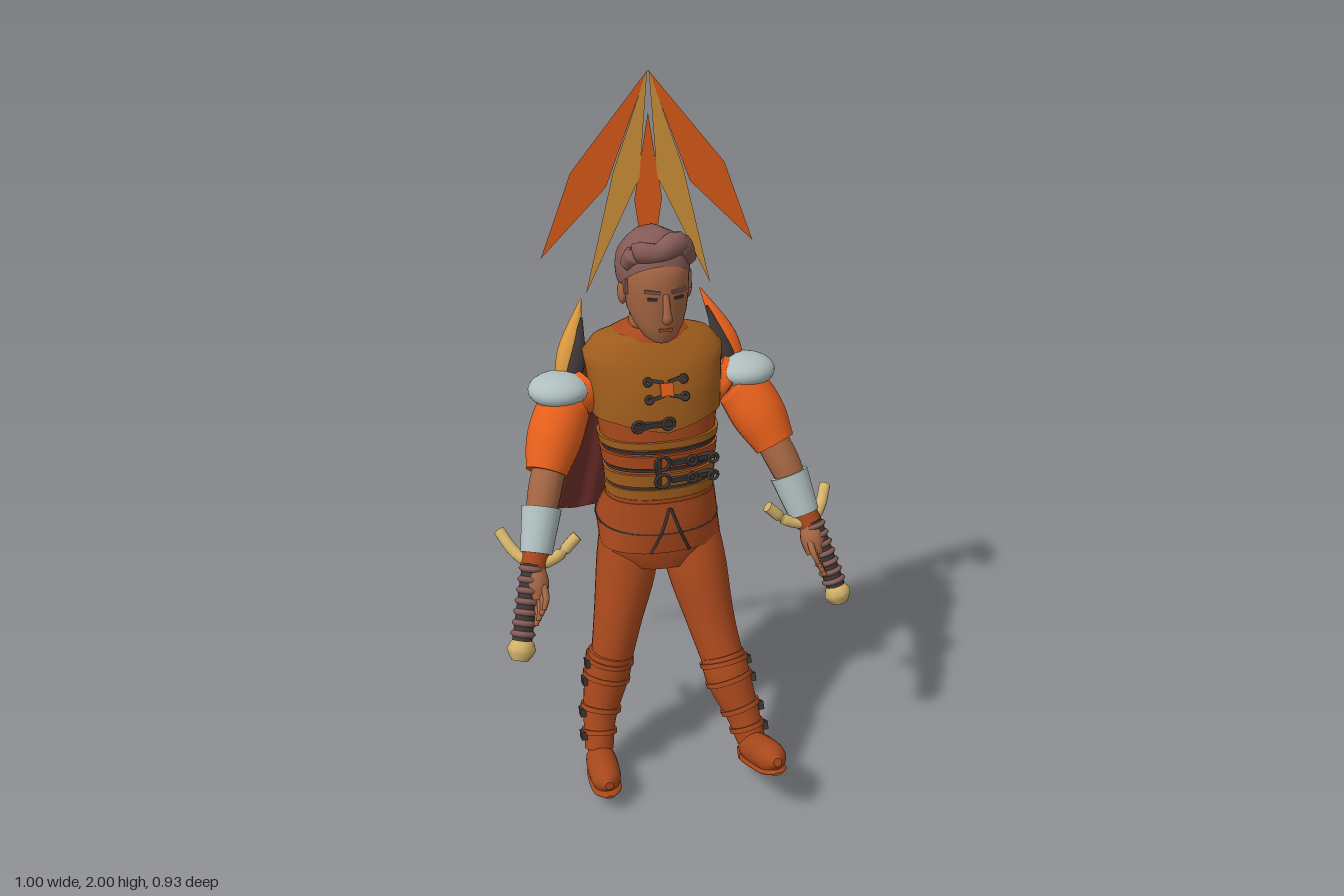
import * as THREE from 'three';

const V = (x, y, z) => new THREE.Vector3(x, y, z);
const mats = {};
for (const [name, color] of Object.entries({
  skin: 0xa26442, hair: 0x845a55, vestBrown: 0x9e5c1c, leather: 0xa8481c, orange: 0xe8601c,
  paleGrey: 0xafbebe, capeRed: 0x74322d, gold: 0xdc9a3e, brass: 0xd2b26a, darkStrap: 0x3c3634,
})) mats[name] = new THREE.MeshStandardMaterial({ color, name });
mats.capeRed.side = mats.gold.side = mats.orange.side = mats.hair.side = THREE.DoubleSide;

export function createModel() {
  const root = new THREE.Group();
  const add = (name, geo, mat, parent = root) => {
    const m = new THREE.Mesh(geo, mats[mat]);
    m.name = name;
    parent.add(m);
    return m;
  };

  // Skin a stack of rings, with both ends capped
  const skinRings = (rings) => {
    const n = rings[0].length, pos = [], idx = [];
    rings.forEach((r) => r.forEach((p) => pos.push(p.x, p.y, p.z)));
    for (let i = 0; i < rings.length - 1; i++) for (let j = 0; j < n; j++) {
      const a = i * n + j, b = i * n + (j + 1) % n;
      idx.push(a, b, b + n, a, b + n, a + n);
    }
    [0, rings.length - 1].forEach((i) => {
      const base = pos.length / 3;
      const c = rings[i].reduce((s, p) => s.add(p), V(0, 0, 0)).divideScalar(n);
      rings[i].forEach((p) => pos.push(p.x, p.y, p.z));
      pos.push(c.x, c.y, c.z);
      for (let j = 0; j < n; j++) {
        const a = base + j, b = base + (j + 1) % n;
        if (i) idx.push(a, b, base + n); else idx.push(b, a, base + n);
      }
    });
    const g = new THREE.BufferGeometry();
    g.setAttribute('position', new THREE.Float32BufferAttribute(pos, 3));
    g.setIndex(idx);
    g.computeVertexNormals();
    return g;
  };

  // Horizontal sections, bottom to top: [y, front z, back z, half width]
  const loft = (secs, pow = 0.9, n = 32) => skinRings(secs.map(([y, zf, zb, rx]) =>
    Array.from({ length: n }, (_, j) => {
      const a = j / n * Math.PI * 2, c = Math.cos(a), s = Math.sin(a);
      const e = (v) => Math.sign(v) * Math.abs(v) ** pow;
      return V(rx * e(c), y, (zf + zb) / 2 - (zf - zb) / 2 * e(s));
    })));

  // Tapered limb through points [x, y, z, radius]; flat squashes one axis
  const limb = (pts, { steps = pts.length * 4, n = 16, flat = 1 } = {}) => {
    const path = new THREE.CatmullRomCurve3(pts.map((p) => V(p[0], p[1], p[2])));
    const rad = new THREE.CatmullRomCurve3(pts.map((p, i) => V(p[3], i * 0.05, 0)));
    return skinRings(Array.from({ length: steps + 1 }, (_, i) => {
      const t = i / steps, c = path.getPoint(t), T = path.getTangent(t), r = rad.getPoint(t).x;
      const U = Math.abs(T.x) < 0.8 ? V(1, 0, 0) : V(0, 0, 1);
      U.addScaledVector(T, -T.dot(U)).normalize();
      const W = T.clone().cross(U);
      return Array.from({ length: n }, (_, j) => {
        const a = j / n * Math.PI * 2;
        return c.clone().addScaledVector(U, r * Math.cos(a)).addScaledVector(W, r * flat * Math.sin(a));
      });
    }));
  };
  const ball = (name, mat, p, s) => {
    const m = add(name, new THREE.SphereGeometry(1, 24, 16), mat);
    m.position.set(...p); m.scale.set(...s);
  };
  const box = (name, mat, p, s, rot = [0, 0, 0]) => {
    const m = add(name, new THREE.BoxGeometry(...s), mat);
    m.position.set(...p); m.rotation.set(...rot);
  };

  // Torso, vest and waist bands
  const body = [[0.84, 0.085, -0.115, 0.147], [0.92, 0.08, -0.112, 0.15], [1.0, 0.077, -0.135, 0.16],
    [1.1, 0.066, -0.17, 0.173], [1.18, 0.048, -0.185, 0.178], [1.25, 0.01, -0.185, 0.187],
    [1.285, -0.02, -0.175, 0.155], [1.3, -0.035, -0.165, 0.09]];
  const at = (y) => {
    const i = Math.max(1, body.findIndex((b) => b[0] >= y)), a = body[i - 1], b = body[i];
    return a.map((v, k) => v + (b[k] - v) * (y - a[0]) / (b[0] - a[0]));
  };
  const grow = ([y, f, b, r], d) => [y, f + d, b - d, r + d];
  add('torso', loft(body), 'leather');
  const vest = loft([1.085, 1.11, 1.14, 1.18, 1.22, 1.25, 1.285, 1.299].map((y) => grow(at(y), 0.01)));
  const vp = vest.attributes.position;
  for (let i = 0; i < vp.count; i++) // hem dips at the middle
    if (vp.getY(i) < 1.09) vp.setY(i, 1.085 - 0.03 * Math.max(0, 1 - Math.abs(vp.getX(i)) / 0.14));
  add('vest', vest, 'vestBrown');
  [[0.862, 0.89, 'vestBrown'], [0.9, 0.935, 'vestBrown'], [0.955, 0.99, 'leather'], [1.01, 1.03, 'vestBrown']].forEach(([a, b, mat]) =>
    add('waistBand', loft([grow(at(a), 0.008), grow(at(b), 0.008)]), mat));
  [0.895, 0.947, 1.0].forEach((y) =>
    add('bandSeam', loft([grow(at(y - 0.004), 0.004), grow(at(y + 0.004), 0.004)]), 'darkStrap'));
  add('collar', loft([[1.255, 0.0, -0.207, 0.12], [1.29, -0.012, -0.2, 0.12], [1.3, -0.02, -0.19, 0.1], [1.318, -0.03, -0.165, 0.07]]), 'leather');

  // Front straps, buckles and chest clasp
  const buckle = (x, y, r) => {
    const m = add('buckle', new THREE.TorusGeometry(r, 0.005, 6, 12), 'darkStrap');
    m.position.set(x, y, at(y)[1] + 0.013);
    m.rotation.x = y > 1.1 ? -0.4 : 0;
  };
  [0.92, 0.972].forEach((y) => {
    box('frontStrap', 'darkStrap', [0.07, y, at(y)[1] + 0.002], [0.13, 0.014, 0.018], [0, 0.15, 0]);
    [-0.02, 0.065, 0.125].forEach((x) => buckle(x, y, x < 0 ? 0.02 : 0.013));
  });
  box('beltLink', 'darkStrap', [-0.03, 0.946, 0.087], [0.014, 0.075, 0.012]);
  box('chestStrap', 'darkStrap', [-0.045, 1.085, 0.077], [0.11, 0.015, 0.014]);
  [-0.085, 0.0].forEach((x) => buckle(x, 1.085, 0.016));
  [1.155, 1.2].forEach((y) => [-1, 1].forEach((s) => {
    box('claspBar', 'darkStrap', [s * 0.032, y, at(y)[1] + 0.01], [0.05, 0.01, 0.014], [-0.4, 0, s * (y > 1.18 ? 0.25 : -0.25)]);
    buckle(s * 0.05, y, 0.009);
  }));
  box('claspPlate', 'orange', [0, 1.178, 0.06], [0.035, 0.035, 0.012], [-0.3, 0, 0]);

  // Hips, flared tunic skirt and front opening seams
  add('hips', loft([[0.64, 0.09, -0.07, 0.11], [0.69, 0.1, -0.12, 0.165], [0.74, 0.1, -0.17, 0.165],
    [0.8, 0.095, -0.15, 0.16], [0.86, 0.09, -0.12, 0.154]]), 'leather');
  add('skirt', loft([[0.7, 0.105, -0.125, 0.175], [0.76, 0.107, -0.205, 0.174], [0.785, 0.105, -0.185, 0.17],
    [0.85, 0.094, -0.125, 0.157]]), 'leather');
  add('skirtSeam', loft([[0.757, 0.107, -0.208, 0.176], [0.762, 0.107, -0.208, 0.176]]), 'darkStrap');
  [-1, 1].forEach((s) => add('openingSeam',
    limb([[s * 0.002, 0.835, 0.096, 0.004], [s * 0.025, 0.77, 0.106, 0.004], [s * 0.055, 0.7, 0.1, 0.004]], { n: 6 }), 'darkStrap'));

  // Legs, boots and boot straps, the left leg stepping forward
  const legs = [
    { s: -1, thigh: [[-0.085, 0.76, -0.04, 0.08], [-0.1, 0.62, -0.01, 0.088], [-0.14, 0.46, 0.035, 0.07], [-0.17, 0.32, 0.06, 0.058]],
      boot: [[-0.165, 0.37, 0.055, 0.066], [-0.18, 0.3, 0.06, 0.066], [-0.21, 0.18, 0.09, 0.049], [-0.222, 0.09, 0.125, 0.042]],
      foot: [[-0.222, 0.058, 0.105, 0.026], [-0.223, 0.066, 0.14, 0.042], [-0.23, 0.075, 0.22, 0.045], [-0.235, 0.085, 0.275, 0.038], [-0.236, 0.088, 0.305, 0.012]],
      heel: [-0.222, 0.022, 0.125], tilt: -0.2 },
    { s: 1, thigh: [[0.085, 0.76, -0.04, 0.08], [0.095, 0.62, 0.03, 0.088], [0.12, 0.46, 0.105, 0.07], [0.145, 0.34, 0.165, 0.06]],
      boot: [[0.14, 0.37, 0.155, 0.064], [0.15, 0.31, 0.185, 0.065], [0.18, 0.21, 0.235, 0.049], [0.196, 0.14, 0.27, 0.042]],
      foot: [[0.195, 0.115, 0.245, 0.026], [0.197, 0.125, 0.28, 0.043], [0.203, 0.152, 0.35, 0.046], [0.207, 0.178, 0.42, 0.041], [0.208, 0.192, 0.46, 0.012]],
      heel: [0.196, 0.088, 0.265], tilt: -0.42 },
  ];
  legs.forEach(({ s, thigh, boot, foot, heel, tilt }) => {
    add('trouserLeg', limb(thigh), 'leather');
    add('boot', limb(boot), 'leather');
    add('foot', limb(foot, { n: 20 }), 'leather');
    add('sole', limb(foot.map((p) => [p[0], p[1] - 0.033, p[2] + 0.008, p[3]]), { n: 20, flat: 0.3 }), 'leather');
    box('bootHeel', 'leather', heel, [0.06, 0.036, 0.055], [tilt, 0, 0]);
    const curve = new THREE.CatmullRomCurve3(boot.map((p) => V(p[0], p[1], p[2])));
    [0.1, 0.35, 0.6, 0.82].forEach((t) => {
      const c = curve.getPoint(t), d = curve.getTangent(t), r = [0.066, 0.065, 0.055, 0.047][Math.floor(t * 4)];
      add('bootStrap', limb([-1, 1].map((k) => [c.x + d.x * k * 0.007, c.y + d.y * k * 0.007, c.z + d.z * k * 0.007, r + 0.005]), { steps: 1 }), 'leather');
      box('bootBuckle', 'darkStrap', [c.x + s * (r + 0.002), c.y, c.z + 0.01], [0.016, 0.024, 0.03], [tilt, 0, 0]);
    });
  });

  // Arms, shoulder pads, hilts and back blades
  [-1, 1].forEach((s) => {
    const P = (x, y, z, r) => [s * x, y, z - (s > 0 ? 0.1 * Math.max(0, 1 - y) : 0), r];
    ball('shoulderPad', 'paleGrey', [s * 0.266, 1.153, -0.078], [0.087, 0.046, 0.083]);
    add('sleeve', limb([P(0.18, 1.15, -0.09, 0.055), P(0.25, 1.105, -0.068, 0.073), P(0.295, 1.03, -0.025, 0.077), P(0.33, 0.955, 0.025, 0.058)]), 'orange');
    add('forearm', limb([P(0.32, 0.97, 0.02, 0.047), P(0.35, 0.9, 0.07, 0.045), P(0.385, 0.8, 0.13, 0.032)]), 'skin');
    add('bracer', limb([P(0.357, 0.88, 0.08, 0.055), P(0.388, 0.775, 0.14, 0.044)]), 'paleGrey');
    add('wristBand', limb([P(0.388, 0.78, 0.14, 0.036), P(0.402, 0.745, 0.16, 0.036)]), 'leather');
    add('hand', limb([P(0.4, 0.755, 0.155, 0.026), P(0.4, 0.715, 0.19, 0.034), P(0.402, 0.675, 0.215, 0.024)]), 'skin');
    for (let i = 0; i < 4; i++) add('finger', limb([P(0.385 + i * 0.008, 0.715 - i * 0.015, 0.215, 0.01),
      P(0.385 + i * 0.008, 0.695 - i * 0.015, 0.245, 0.009), P(0.395 + i * 0.008, 0.67 - i * 0.015, 0.262, 0.006)], { n: 8 }), 'skin');
    add('guard', limb([P(0.475, 0.82, 0.07, 0.016), P(0.44, 0.775, 0.125, 0.016), P(0.395, 0.755, 0.16, 0.017),
      P(0.335, 0.765, 0.155, 0.016), P(0.275, 0.815, 0.145, 0.016)], { n: 12 }), 'brass');
    const g = (t, r) => P(0.405 + 0.052 * t, 0.76 - 0.18 * t, 0.165 + 0.09 * t, r);
    add('grip', limb([g(0, 0.027), g(1, 0.027)]), 'darkStrap');
    for (let i = 0; i < 7; i++) {
      const t = 0.03 + i * 0.14;
      add('gripWrap', limb([g(t, 0.028), g(t + 0.04, 0.035), g(t + 0.08, 0.028)], { steps: 4 }), 'hair');
    }
    add('pommel', limb([g(0.94, 0.02), P(0.461, 0.56, 0.263, 0.04), P(0.469, 0.533, 0.277, 0.022)], { n: 8, steps: 4 }), 'brass');
    add('backBlade', limb([[s * 0.255, 1.15, -0.09, 0.022], [s * 0.225, 1.24, -0.13, 0.032], [s * 0.172, 1.36, -0.205, 0.002]],
      { n: 8, flat: 0.6 }), s > 0 ? 'orange' : 'gold');
    add('bladeInset', limb([[s * 0.235, 1.15, -0.075, 0.018], [s * 0.21, 1.22, -0.105, 0.024], [s * 0.18, 1.32, -0.165, 0.003]],
      { n: 8, flat: 0.5 }), 'darkStrap');
  });

  // Neck, head and face
  add('neck', loft([[1.25, -0.02, -0.17, 0.08], [1.31, -0.035, -0.155, 0.062], [1.4, -0.03, -0.155, 0.06]]), 'skin');
  add('head', loft([[1.302, 0.035, -0.02, 0.025], [1.315, 0.046, -0.05, 0.045], [1.345, 0.05, -0.1, 0.066], [1.38, 0.052, -0.14, 0.079],
    [1.43, 0.054, -0.155, 0.087], [1.48, 0.052, -0.155, 0.088], [1.52, 0.035, -0.14, 0.08], [1.56, -0.03, -0.1, 0.04]], 0.95), 'skin');
  add('nose', limb([[0, 1.445, 0.05, 0.008], [0, 1.4, 0.064, 0.011], [0, 1.38, 0.066, 0.014], [0, 1.37, 0.055, 0.01]]), 'skin');
  box('mouth', 'leather', [0, 1.345, 0.05], [0.036, 0.008, 0.006]);
  [-1, 1].forEach((s) => {
    ball('ear', 'skin', [s * 0.09, 1.425, -0.06], [0.013, 0.035, 0.022]);
    box('eyebrow', 'hair', [s * 0.036, 1.453, 0.048], [0.042, 0.008, 0.008], [0, s * 0.3, s * 0.1]);
    box('eye', 'darkStrap', [s * 0.036, 1.433, 0.047], [0.026, 0.007, 0.006], [0, s * 0.3, 0]);
    box('sideburn', 'hair', [s * 0.087, 1.455, -0.035], [0.01, 0.05, 0.025]);
  });

  // Wavy swept-back hair
  const hair = new THREE.Group();
  hair.name = 'hair';
  hair.position.set(-0.004, 1.485, -0.069);
  hair.scale.set(0.1, 0.11, 0.114);
  root.add(hair);
  const capGeo = new THREE.SphereGeometry(1, 48, 24, 0, Math.PI * 2, 0, Math.PI * 0.62);
  const hp = capGeo.attributes.position;
  for (let i = 0; i < hp.count; i++) {
    const p = V(0, 0, 0).fromBufferAttribute(hp, i);
    p.multiplyScalar(1 + 0.022 * Math.sin(p.x * 9 + p.z * 3) * Math.cos(p.z * 7 - p.y * 4));
    hp.setXYZ(i, p.x, p.y, p.z);
  }
  capGeo.computeVertexNormals();
  add('hairCap', capGeo, 'hair', hair).rotation.x = -0.68;
  add('hairQuiff', limb([[-0.088, 1.51, -0.025, 0.02], [-0.065, 1.545, -0.005, 0.028], [-0.01, 1.545, 0.012, 0.028],
    [0.05, 1.56, -0.012, 0.034], [0.088, 1.51, -0.025, 0.02]]), 'hair');

  // Flat fan of kite blades above the head: [top, outer, tip, inner]
  const fan = [[[0, 1.89], [-0.038, 1.66], [0, 1.4], [0.038, 1.66], 'orange', 0],
    ...[-1, 1].flatMap((s) => [
      [[0, 2], [s * 0.21, 1.745], [s * 0.295, 1.52], [s * 0.115, 1.7], 'orange', 0.001],
      [[s * 0.002, 2], [s * 0.095, 1.74], [s * 0.175, 1.41], [s * 0.024, 1.72], 'gold', 0.002]])];
  fan.forEach(([top, a, b, c, mat, dz]) => {
    const shape = new THREE.Shape([top, a, b, c].map((p) => new THREE.Vector2(...p)));
    add('fanBlade', new THREE.ShapeGeometry(shape), mat).position.set(-0.005, 0, -0.105 + dz);
  });

  // Pleated cape hanging away from the back
  const cape = new THREE.PlaneGeometry(1, 1, 60, 12);
  const cp = cape.attributes.position;
  for (let i = 0; i < cp.count; i++) {
    const u = cp.getX(i) * 2, t = 0.5 - cp.getY(i);
    const fold = Math.cos((u * 0.275 + 0.045) * Math.PI * 2 / 0.104) * t;
    cp.setXYZ(i, u * (0.18 + 0.098 * t ** 0.8), 1.165 - 0.578 * t - fold * 0.012,
      -0.232 - 0.13 * t - 0.078 * t * t - fold * 0.018);
  }
  cape.computeVertexNormals();
  add('cape', cape, 'capeRed');
  return root;
}
